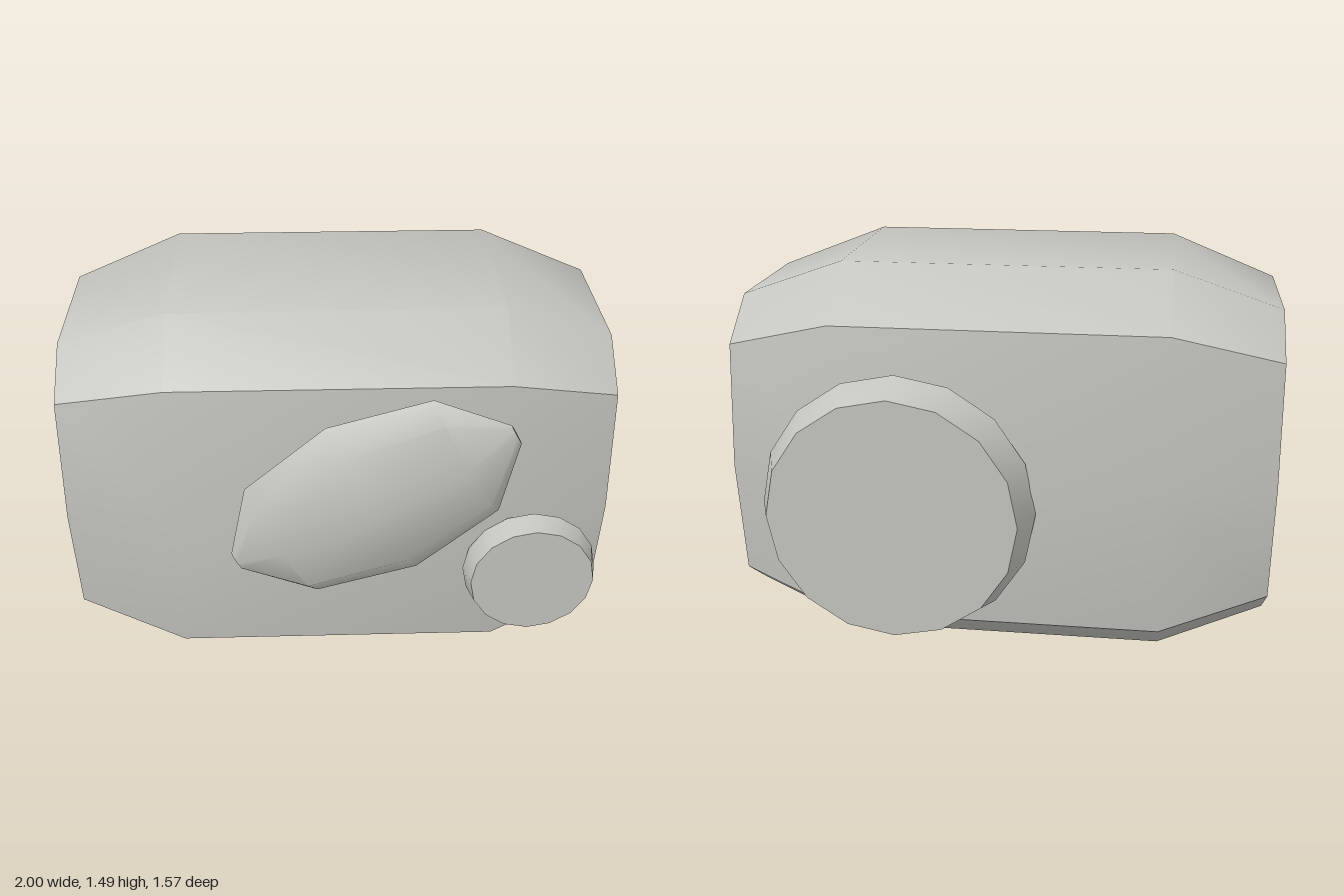
import * as THREE from 'three';
import { toCreasedNormals } from 'three/addons/utils/BufferGeometryUtils.js';

const CREASE = THREE.MathUtils.degToRad(40);

// Joins scaled copies of a closed (z, y) section along x and caps both ends.
function loft(section, stations, centreZ, centreY) {
  const n = section.length;
  const positions = [];
  const index = [];
  for (const [x, s] of stations) {
    for (const [z, y] of section) {
      positions.push(x, centreY + (y - centreY) * s, centreZ + (z - centreZ) * s);
    }
  }
  const last = (stations.length - 1) * n;
  for (let i = 0; i < last; i += n) {
    for (let j = 0; j < n; j++) {
      const k = (j + 1) % n;
      index.push(i + j, i + k, i + n + k, i + j, i + n + k, i + n + j);
    }
  }
  for (let j = 1; j < n - 1; j++) {
    index.push(0, j + 1, j, last, last + j, last + j + 1);
  }
  const geometry = new THREE.BufferGeometry();
  geometry.setAttribute('position', new THREE.Float32BufferAttribute(positions, 3));
  geometry.setIndex(index);
  return geometry;
}

export function createModel() {
  const model = new THREE.Group();
  const stone = new THREE.MeshStandardMaterial({ color: 0xc4c4bf });
  stone.name = 'warm grey';

  const add = (name, geometry, x = 0, y = 0, z = 0) => {
    const mesh = new THREE.Mesh(toCreasedNormals(geometry, CREASE), stone);
    mesh.name = name;
    mesh.position.set(x, y, z);
    model.add(mesh);
  };

  // Barrel-like body with tapered ends, counterclockwise seen from +x
  const section = [
    [0.33, 1.49], [0.56, 1.31], [0.63, 0.745], [0.56, 0.18], [0.33, 0],
    [-0.35, 0], [-0.59, 0.18], [-0.66, 0.745], [-0.59, 1.31], [-0.35, 1.49],
  ];
  add('body', loft(section, [[-1, 0.8], [-0.6, 1], [0.6, 1], [1, 0.8]], -0.015, 0.745));

  // Flattened, tilted boss on the front
  const profile = [
    [0, -0.553], [0.042, -0.553], [0.263, -0.367], [0.345, 0],
    [0.263, 0.367], [0.042, 0.553], [0, 0.553],
  ].map(([r, y]) => new THREE.Vector2(r, y));
  const boss = new THREE.LatheGeometry(profile, 8);
  boss.scale(1, 1, 0.32);
  boss.rotateZ(THREE.MathUtils.degToRad(-61.4));
  add('frontBoss', boss, 0.115, 0.925, 0.675);

  // Small tapered disc on the front
  const smallDisc = new THREE.CylinderGeometry(0.225, 0.245, 0.085, 16);
  smallDisc.rotateX(Math.PI / 2);
  add('frontDisc', smallDisc, 0.703, 0.57, 0.672);

  // Large tapered disc on the back
  const largeDisc = new THREE.CylinderGeometry(0.45, 0.5, 0.13, 16);
  largeDisc.rotateX(-Math.PI / 2);
  add('backDisc', largeDisc, 0.35, 0.66, -0.72);

  return model;
}
